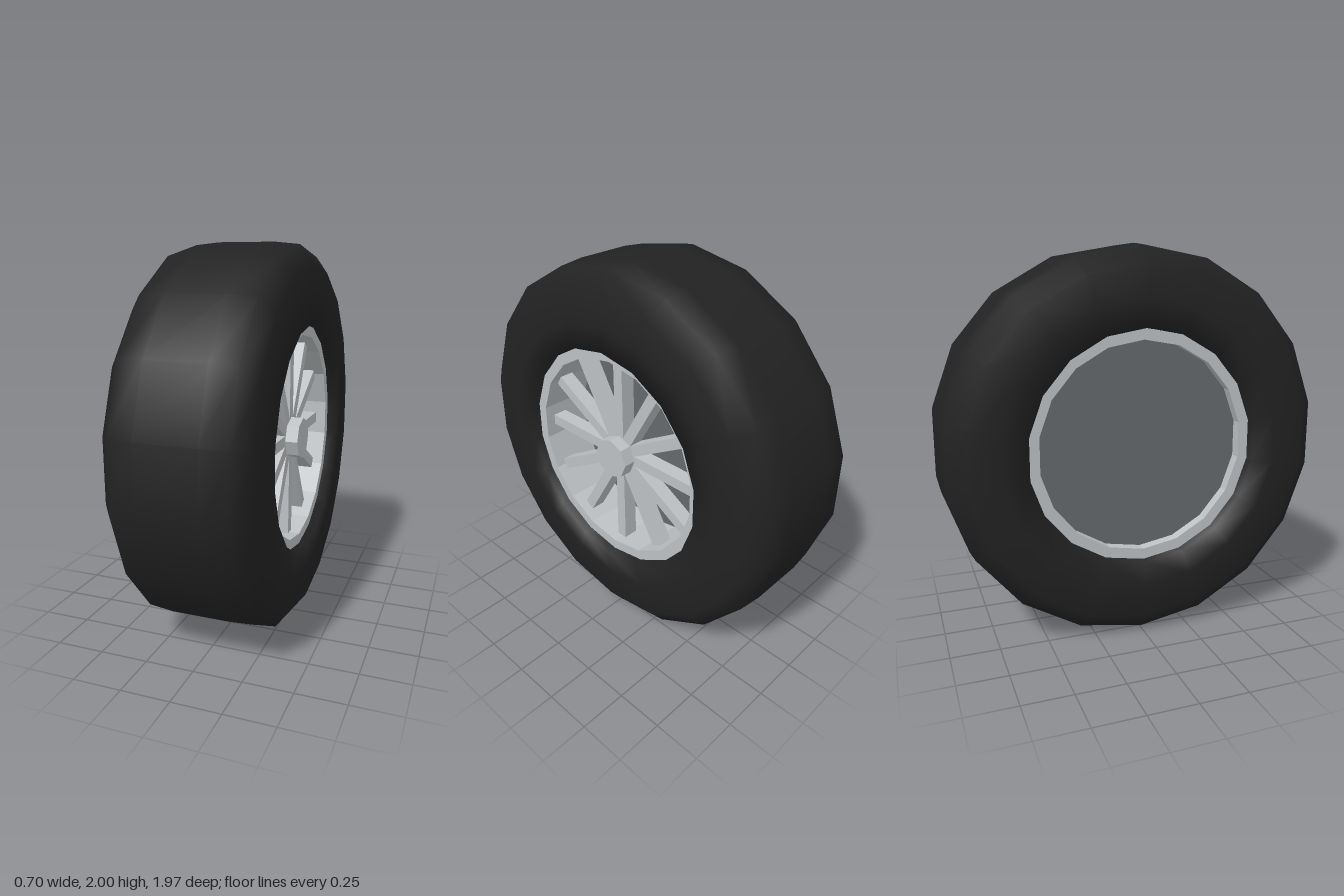
import * as THREE from 'three';

const SIDES = 18;

// Turn a shape made around y so that its axle lies along x, with a corner at the top
function layOnAxle(geometry) {
  return geometry.rotateY(Math.PI / 2).rotateZ(-Math.PI / 2);
}

// Give every face its own normal
function faceted(geometry) {
  const flat = geometry.index ? geometry.toNonIndexed() : geometry;
  flat.computeVertexNormals();
  return flat;
}

function lathe(profile) {
  return layOnAxle(new THREE.LatheGeometry(profile.map(([r, y]) => new THREE.Vector2(r, y)), SIDES));
}

export function createModel() {
  const rubber = new THREE.MeshStandardMaterial({ color: 0x222222 });
  rubber.name = 'black rubber';
  const metal = new THREE.MeshStandardMaterial({ color: 0xbdc1c4 });
  metal.name = 'light metal';
  const steel = new THREE.MeshStandardMaterial({ color: 0x65696c });
  steel.name = 'dark steel';

  const wheel = new THREE.Group();
  wheel.name = 'wheel';
  const add = (name, geometry, material, parent = wheel) => {
    const mesh = new THREE.Mesh(geometry, material);
    mesh.name = name;
    parent.add(mesh);
    return mesh;
  };

  // Tyre: mirrored profile, smooth all round
  const half = [[0.15, 1], [0.28, 0.987], [0.35, 0.895], [0.35, 0.73], [0.35, 0.6], [0.2, 0.597]];
  const tyre = [
    ...half.map(([x, r]) => [r, -x]).reverse(),
    ...half.map(([x, r]) => [r, x]),
    [0.597, -0.2],
  ];
  add('tyre', lathe(tyre), rubber);

  // Rim: open faceted barrel
  const rim = [[0.54, -0.305], [0.596, -0.305], [0.596, 0.305], [0.54, 0.305], [0.54, -0.305]];
  add('rim', faceted(lathe(rim)), metal);

  // Brake disc closing the back of the barrel
  const disc = faceted(layOnAxle(new THREE.CylinderGeometry(0.55, 0.55, 0.27, SIDES)));
  add('brakeDisc', disc, steel).position.x = -0.115;

  // Hub cap
  const hub = faceted(layOnAxle(new THREE.CylinderGeometry(0.108, 0.108, 0.14, 8)));
  add('hub', hub, metal).position.x = 0.245;

  // Twelve spokes
  const spokes = new THREE.Group();
  spokes.name = 'spokes';
  wheel.add(spokes);
  const bar = new THREE.BoxGeometry(0.08, 0.48, 0.058).translate(0.21, 0.295, 0);
  for (let i = 0; i < 12; i++) {
    add('spoke', bar, metal, spokes).rotation.x = (i * Math.PI) / 6;
  }

  wheel.position.y = 1;
  const model = new THREE.Group();
  model.name = 'spokedWheel';
  model.add(wheel);
  return model;
}
